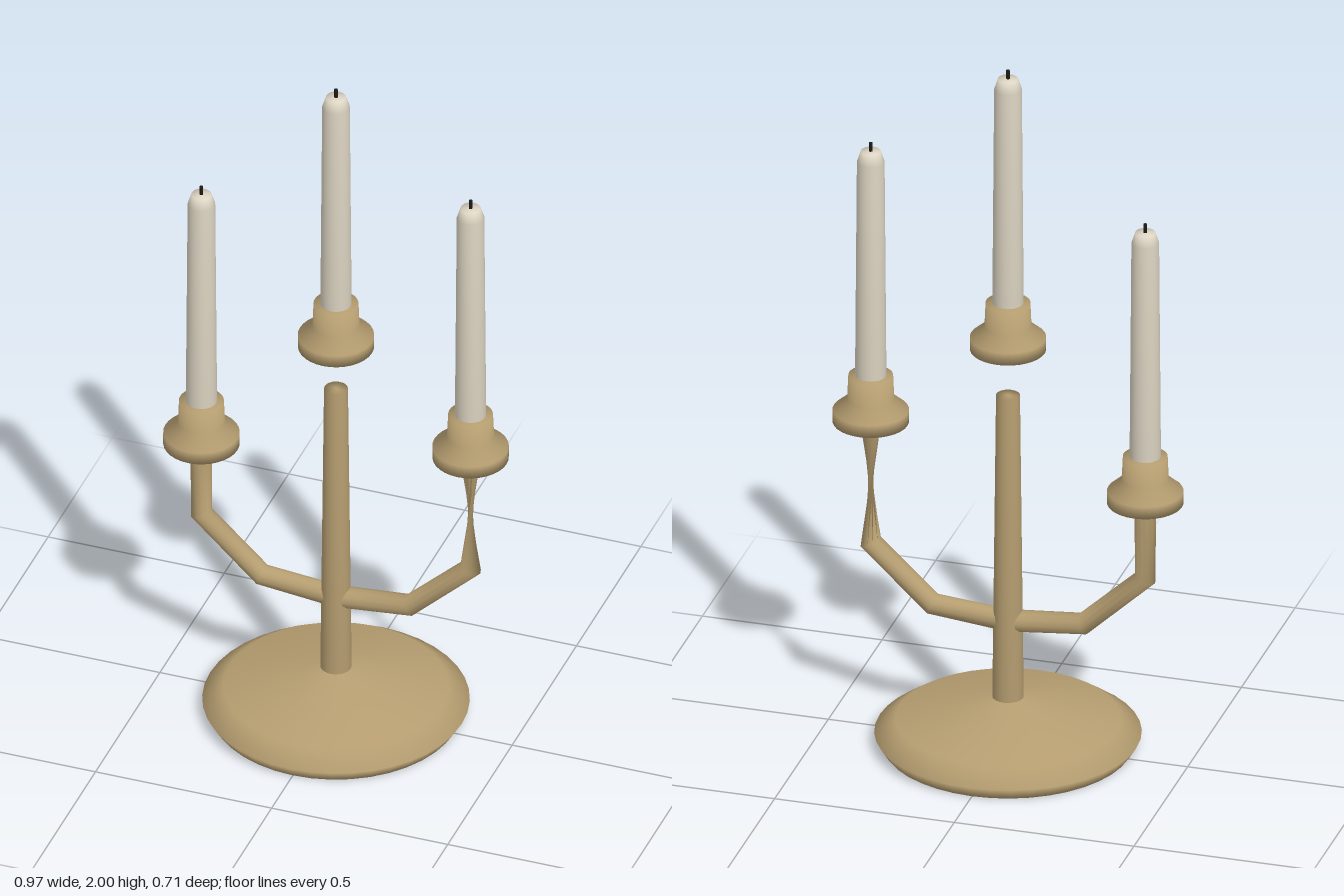
import * as THREE from 'three';

const brass = new THREE.MeshStandardMaterial({ color: 0xb59d70, side: THREE.DoubleSide });
brass.name = 'brass';
const wax = new THREE.MeshStandardMaterial({ color: 0xddd5c3 });
wax.name = 'wax';
const soot = new THREE.MeshStandardMaterial({ color: 0x1c1a18 });
soot.name = 'soot';

function lathe(name, profile, material, segments = 32) {
  const points = profile.map(([r, y]) => new THREE.Vector2(r, y));
  const mesh = new THREE.Mesh(new THREE.LatheGeometry(points, segments), material);
  mesh.name = name;
  return mesh;
}

// Round bar along a path in the xy plane; the last ring may be turned to twist the end.
function bar(name, path, radius, endTwist) {
  const sides = 12, position = [], index = [];
  const pts = path.map(([x, y]) => new THREE.Vector2(x, y));
  const dir = (a, b) => b.clone().sub(a).normalize();
  pts.forEach((p, i) => {
    const t = new THREE.Vector2();
    if (i > 0) t.add(dir(pts[i - 1], p));
    if (i < pts.length - 1) t.add(dir(p, pts[i + 1]));
    t.normalize();
    const twist = i === pts.length - 1 ? endTwist : 0;
    for (let j = 0; j < sides; j++) {
      const a = (j / sides) * Math.PI * 2 + twist;
      const c = Math.cos(a) * radius;
      position.push(p.x - t.y * c, p.y + t.x * c, Math.sin(a) * radius);
      if (i === pts.length - 1) continue;
      const k = (j + 1) % sides, r0 = i * sides, r1 = r0 + sides;
      index.push(r0 + j, r0 + k, r1 + j, r0 + k, r1 + k, r1 + j);
    }
  });
  const geometry = new THREE.BufferGeometry();
  geometry.setAttribute('position', new THREE.Float32BufferAttribute(position, 3));
  geometry.setIndex(index);
  geometry.computeVertexNormals();
  const mesh = new THREE.Mesh(geometry, brass);
  mesh.name = name;
  return mesh;
}

// Cup with its candle and wick, standing on y = 0
function candleHolder(name) {
  const group = new THREE.Group();
  group.name = name;
  group.add(
    lathe('cup', [[0, 0], [0.102, 0], [0.102, 0.036], [0.063, 0.07], [0.06, 0.138], [0, 0.138]], brass),
    lathe('candle', [[0, 0.13], [0.042, 0.13], [0.037, 0.772], [0.027, 0.803], [0, 0.803]], wax, 24)
  );
  const wick = new THREE.Mesh(new THREE.CylinderGeometry(0.005, 0.005, 0.036, 8), soot);
  wick.name = 'wick';
  wick.position.y = 0.81;
  group.add(wick);
  return group;
}

export function createModel() {
  const model = new THREE.Group();
  model.name = 'candelabra';

  // Foot and stem
  model.add(
    lathe('base', [[0, 0], [0.335, 0], [0.357, 0.035], [0.3, 0.075], [0.04, 0.14], [0, 0.14]], brass, 40),
    lathe('stem', [[0, 0.13], [0.042, 0.13], [0.032, 1.035], [0, 1.035]], brass, 20)
  );

  // Arms: the left one ends in a half turn
  for (const [name, side, top, twist] of [['leftArm', 1, 0.91, Math.PI], ['rightArm', -1, 0.78, 0]]) {
    const path = [[0.02, 0.367], [0.21, 0.385], [0.382, 0.545], [0.382, top]];
    model.add(bar(name, path.map(([x, y]) => [x * side, y]), 0.03, twist));
  }

  // Candle holders
  for (const [name, x, y] of [['middleHolder', 0, 1.172], ['leftHolder', 0.382, 0.903], ['rightHolder', -0.382, 0.769]]) {
    const holder = candleHolder(name);
    holder.position.set(x, y, 0);
    model.add(holder);
  }
  return model;
}
